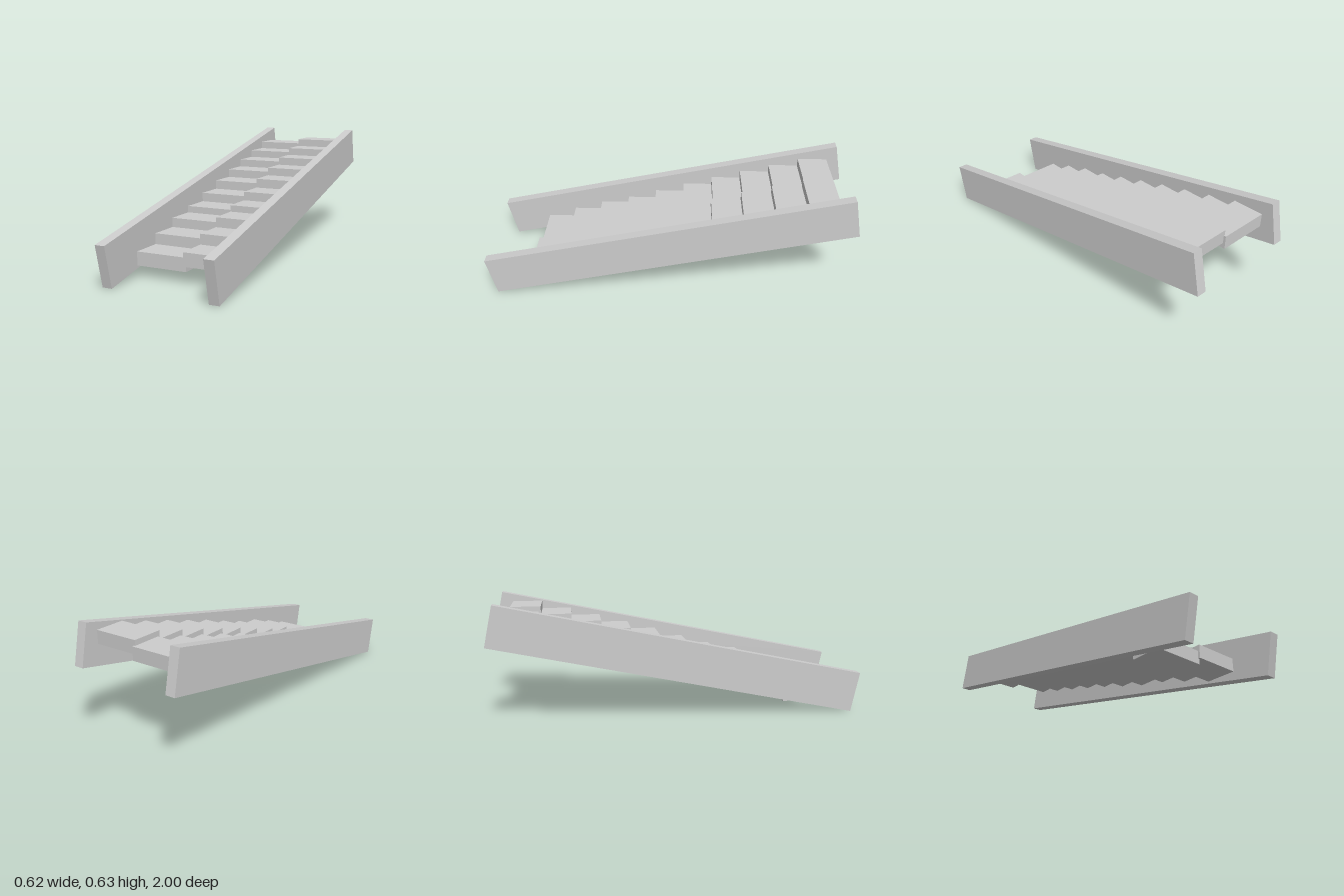
import * as THREE from 'three';

export function createModel() {
  const model = new THREE.Group();
  model.name = 'staircase';
  const grey = new THREE.MeshStandardMaterial({ name: 'light grey', color: 0xcccccc });

  function addBox(name, parent, size, position) {
    const mesh = new THREE.Mesh(new THREE.BoxGeometry(...size), grey);
    mesh.name = name;
    mesh.position.set(...position);
    parent.add(mesh);
    return mesh;
  }

  // Sloping side rails
  for (const side of [-1, 1]) {
    const rail = addBox(side > 0 ? 'leftRail' : 'rightRail', model,
      [0.053, 0.22, 1.998], [side * 0.2845, 0.316, 0]);
    rail.rotation.x = 0.21;
  }

  // Two staggered columns of treads, rising unevenly from front to back
  const thickness = 0.071, depth = 0.165;
  const columns = [
    { name: 'rightTreads', x0: -0.26, x1: 0.019, front: 0.745,
      tops: [0.131, 0.188, 0.238, 0.274, 0.323, 0.373, 0.42, 0.464, 0.507, 0.55] },
    { name: 'leftTreads', x0: 0.012, x1: 0.26, front: 0.757,
      tops: [0.16, 0.215, 0.267, 0.302, 0.35, 0.401, 0.446, 0.491, 0.534, 0.578] },
  ];
  for (const { name, x0, x1, front, tops } of columns) {
    const column = new THREE.Group();
    column.name = name;
    model.add(column);
    tops.forEach((top, i) => addBox('tread', column, [x1 - x0, thickness, depth],
      [(x0 + x1) / 2, top - thickness / 2, front - (i + 0.5) * depth]));
  }
  return model;
}
